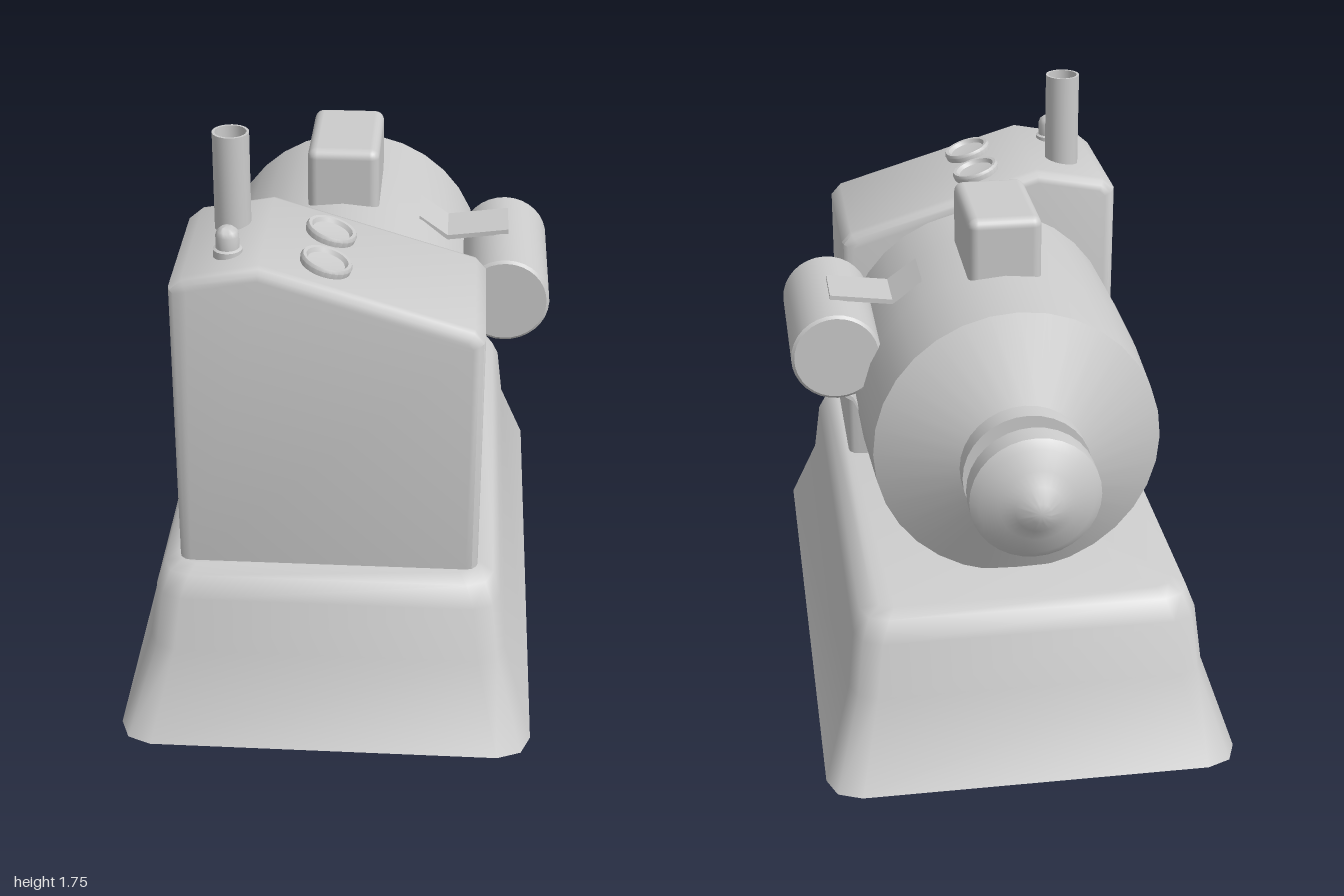
import * as THREE from 'three';
import { toCreasedNormals } from 'three/addons/utils/BufferGeometryUtils.js';
import { RoundedBoxGeometry } from 'three/addons/geometries/RoundedBoxGeometry.js';

const grey = new THREE.MeshStandardMaterial({ color: 0xcccccc });
const greyDouble = new THREE.MeshStandardMaterial({ color: 0xcccccc, side: THREE.DoubleSide });
const CX = -0.012; // centre line of base and tank
const AXIS_Y = 0.915; // height of the tank axis

const points = (list) => list.map(([x, y]) => new THREE.Vector2(x, y));

// Stacked rounded rectangles [halfX, halfZ, y, cornerRadius], closed at both ends
function loft(rings, cornerSteps = 2) {
  const pos = [], index = [], n = 4 * (cornerSteps + 1);
  for (const [hx, hz, y, r] of rings) {
    for (let c = 0; c < 4; c++) {
      const sx = c === 0 || c === 3 ? 1 : -1, sz = c < 2 ? 1 : -1;
      for (let i = 0; i <= cornerSteps; i++) {
        const a = (c + i / cornerSteps) * Math.PI / 2;
        pos.push(sx * (hx - r) + r * Math.cos(a), y, sz * (hz - r) + r * Math.sin(a));
      }
    }
  }
  for (let k = 0; k < rings.length - 1; k++) {
    for (let i = 0; i < n; i++) {
      const a = k * n + i, b = k * n + (i + 1) % n;
      index.push(a, a + n, b, b, a + n, b + n);
    }
  }
  const top = (rings.length - 1) * n;
  for (let i = 1; i < n - 1; i++) {
    index.push(0, i, i + 1, top, top + i + 1, top + i);
  }
  const g = new THREE.BufferGeometry();
  g.setAttribute('position', new THREE.Float32BufferAttribute(pos, 3));
  g.setIndex(index);
  return toCreasedNormals(g, 0.95);
}

// Thin band following a path in x/y, running along z
function strapGeometry(path, thickness, z0, z1) {
  const lower = path.map(([x, y]) => [x, y - thickness]).reverse();
  const shape = new THREE.Shape(points([...path, ...lower]));
  const g = new THREE.ExtrudeGeometry(shape, { depth: z1 - z0, bevelEnabled: false });
  return g.translate(0, 0, z0);
}

export function createModel() {
  const model = new THREE.Group();
  const add = (name, geometry, x = 0, y = 0, z = 0, material = grey) => {
    const mesh = new THREE.Mesh(geometry, material);
    mesh.name = name;
    mesh.position.set(x, y, z);
    model.add(mesh);
    return mesh;
  };

  // Flared plinth
  add('base', loft([
    [0.622, 1.0, 0, 0.1],
    [0.5375, 0.86, 0.25, 0.08],
    [0.5175, 0.835, 0.42, 0.08],
    [0.495, 0.8, 0.48, 0.08],
    [0.455, 0.76, 0.5, 0.06],
  ]), CX);

  // Cabinet with sloping top and softened edges
  const bevel = 0.035;
  const profile = new THREE.Shape(points([
    [-0.425, 0.5], [0.4, 0.5], [0.4, 1.245], [0.385, 1.262],
    [-0.205, 1.44], [-0.405, 1.402], [-0.425, 1.385],
  ]));
  const cabinet = new THREE.ExtrudeGeometry(profile, {
    depth: 0.525 - 2 * bevel, bevelThickness: bevel, bevelSize: bevel, bevelSegments: 3,
  });
  add('cabinet', toCreasedNormals(cabinet, 0.75), 0, 0, 0.22 + bevel);

  // Tank with tapered rear, neck and pointed end cap; profile is [radius, distance to the rear]
  const tank = new THREE.LatheGeometry(points([
    [0, -0.3], [0.44, -0.3], [0.446, 0.0], [0.444, 0.3], [0.43, 0.58],
    [0.19, 0.7], [0.19, 0.765], [0.145, 0.765], [0.145, 0.835],
  ]), 32).rotateX(-Math.PI / 2);
  add('tank', toCreasedNormals(tank, 0.6), CX, AXIS_Y, 0);
  const cap = new THREE.LatheGeometry(points([
    [0, 0.83], [0.145, 0.835], [0.19, 0.838], [0.19, 0.905], [0.165, 0.925],
    [0.11, 0.948], [0.07, 0.97], [0.03, 0.995], [0, 1.0],
  ]), 32).rotateX(-Math.PI / 2);
  add('rearCap', toCreasedNormals(cap, 0.8), CX, AXIS_Y, 0);

  // Box on top of the tank
  add('topBox', new RoundedBoxGeometry(0.222, 0.29, 0.365, 3, 0.03), CX, 1.39, -0.152);

  // Small cylinder on the left side, held by two bent straps
  const side = new THREE.LatheGeometry(points([
    [0, -0.243], [0.128, -0.243], [0.137, -0.236], [0.137, 0.236], [0.128, 0.243], [0, 0.243],
  ]), 32).rotateX(-Math.PI / 2);
  add('sideCylinder', toCreasedNormals(side, 0.6), 0.498, 1.11, -0.068);
  const straps = [
    ['upperStrap', [[0.225, 1.302], [0.315, 1.237], [0.43, 1.252], [0.505, 1.262]]],
    ['lowerStrap', [[0.4, 0.823], [0.445, 0.915], [0.61, 1.023]]],
  ];
  for (const [name, path] of straps) {
    add(name, strapGeometry(path, 0.015, -0.187, -0.022), 0, 0, 0, greyDouble);
  }

  // Two dished gauges lying on the slope
  const gauge = toCreasedNormals(new THREE.LatheGeometry(points([
    [0.072, -0.02], [0.077, 0.012], [0.072, 0.021], [0.062, 0.02], [0.055, 0.008], [0, 0.003],
  ]), 24), 0.7);
  for (const z of [0.39, 0.595]) {
    add('gauge', gauge, -0.025, 1.427, z, greyDouble).rotation.z = -0.293;
  }

  // Open exhaust pipe
  add('pipe', toCreasedNormals(new THREE.LatheGeometry(points([
    [0.054, 1.4], [0.054, 1.745], [0.046, 1.745], [0.046, 1.47], [0, 1.47],
  ]), 24), 0.6), -0.31, 0, 0.4, greyDouble);

  // Domed button on a small collar
  add('button', toCreasedNormals(new THREE.LatheGeometry(points([
    [0.042, 1.42], [0.042, 1.474], [0.034, 1.478], [0.034, 1.515],
    [0.029, 1.53], [0.017, 1.54], [0, 1.543],
  ]), 20), 0.8), -0.302, 0, 0.603);

  return model;
}
